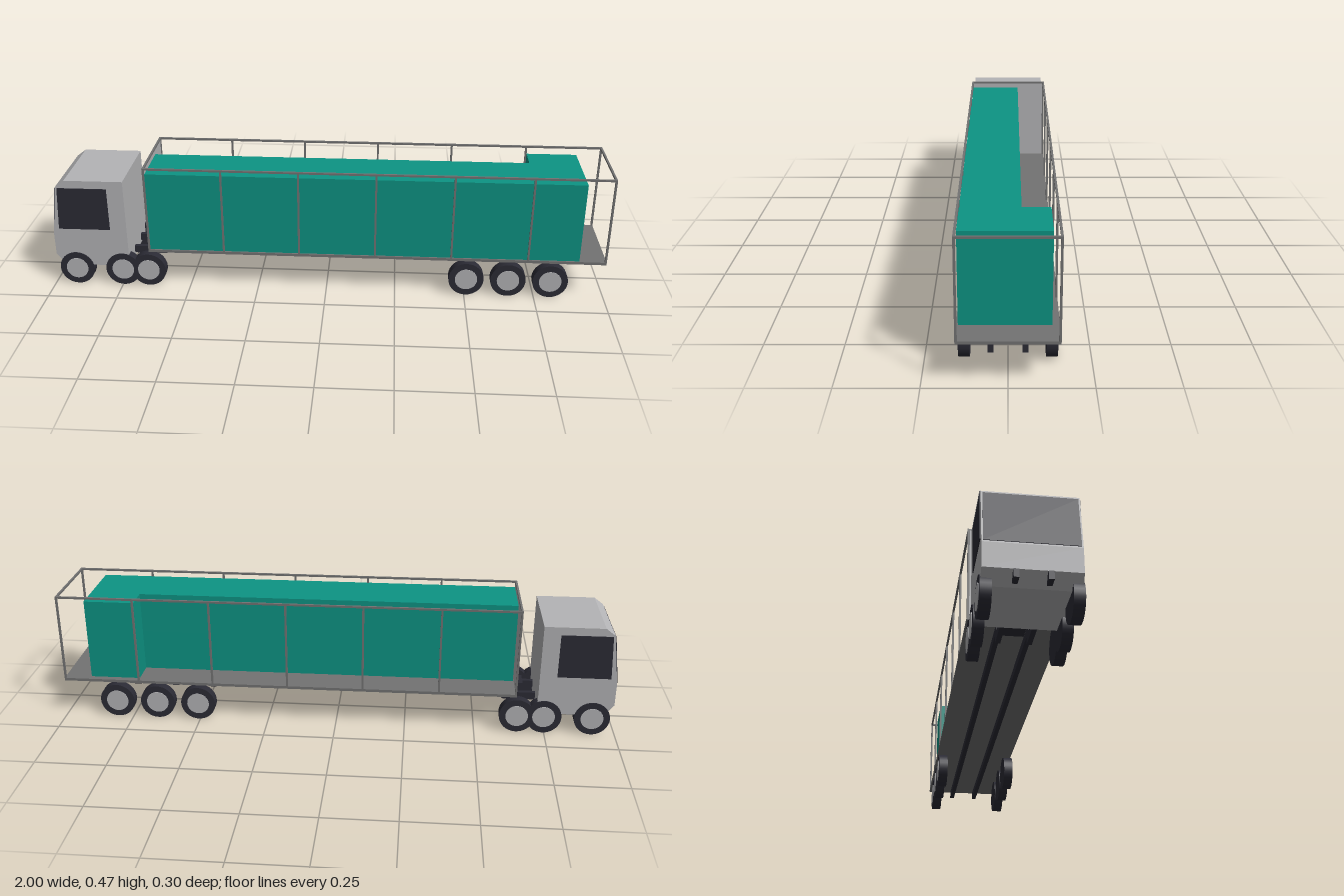
import * as THREE from 'three';

const mat = (name, color) => {
  const m = new THREE.MeshStandardMaterial({ color });
  m.name = name;
  return m;
};

export function createModel() {
  const root = new THREE.Group();
  root.name = 'semiTrailerTruck';
  const lightGrey = mat('lightGrey', 0xb4b4b6);
  const midGrey = mat('midGrey', 0x737373);
  const dark = mat('darkRubber', 0x2b2b35);
  const teal = mat('teal', 0x0d9484);

  const add = (name, geometry, material, parent = root) => {
    const mesh = new THREE.Mesh(geometry, material);
    mesh.name = name;
    parent.add(mesh);
    return mesh;
  };
  // Box given by its minimum and maximum on each axis
  const box = (name, [x0, x1], [y0, y1], [z0, z1], material, parent) =>
    add(name, new THREE.BoxGeometry(x1 - x0, y1 - y0, z1 - z0), material, parent)
      .position.set((x0 + x1) / 2, (y0 + y1) / 2, (z0 + z1) / 2);
  // Side profile extruded across the vehicle between two z values
  const prism = (name, points, z0, z1, material, parent) => {
    const shape = new THREE.Shape(points.map(([x, y]) => new THREE.Vector2(x, y)));
    const g = new THREE.ExtrudeGeometry(shape, { depth: z1 - z0, bevelEnabled: false });
    add(name, g, material, parent).position.z = z0;
  };
  const group = (name) => {
    const g = new THREE.Group();
    g.name = name;
    root.add(g);
    return g;
  };

  // Cab with sloping windscreen and chin
  const cab = group('cab');
  prism('cabBody', [
    [-0.955, 0.076], [-0.72, 0.076], [-0.72, 0.411], [-0.93, 0.411],
    [-0.963, 0.386], [-0.988, 0.2], [-0.988, 0.118],
  ], -0.145, 0.145, lightGrey, cab);
  prism('windscreen', [
    [-0.99, 0.205], [-0.986, 0.205], [-0.962, 0.38], [-0.967, 0.38],
  ], -0.14, 0.14, dark, cab);
  for (const side of [-1, 1]) {
    prism('sideWindow', [
      [-0.966, 0.222], [-0.78, 0.222], [-0.78, 0.382], [-0.957, 0.382],
    ], side * 0.146 - 0.002, side * 0.146 + 0.002, dark, cab);
  }

  // Tractor and trailer chassis rails
  const chassis = group('chassis');
  for (const side of [-1, 1]) {
    const z = [side * 0.049 - 0.008, side * 0.049 + 0.008];
    box('tractorRail', [-1, -0.6], [0.085, 0.112], z, dark, chassis);
    box('trailerRail', [-0.64, 0.99], [0.111, 0.138], z, dark, chassis);
  }
  box('couplingPlate', [-0.675, -0.59], [0.118, 0.138], [-0.034, 0.034], dark, chassis);

  // Wheels: smooth tyre with a pale hub on the outer face
  const tyre = new THREE.CylinderGeometry(0.063, 0.063, 0.034, 32).rotateX(Math.PI / 2);
  const hub = new THREE.CylinderGeometry(0.04, 0.04, 0.006, 32).rotateX(Math.PI / 2);
  const wheels = group('wheels');
  for (const x of [-0.915, -0.745, -0.65, 0.505, 0.655, 0.805]) {
    for (const side of [-1, 1]) {
      add('tyre', tyre, dark, wheels).position.set(x, 0.063, side * 0.131);
      add('hub', hub, lightGrey, wheels).position.set(x, 0.063, side * 0.147);
    }
  }

  // Trailer deck, headboard and open frame
  const trailer = group('trailer');
  box('deck', [-0.645, 0.995], [0.138, 0.148], [-0.15, 0.15], midGrey, trailer);
  box('headboard', [-0.645, -0.641], [0.148, 0.46], [-0.143, 0.143], lightGrey, trailer);
  const t = 0.007;
  for (const side of [-1, 1]) {
    const z = [side * 0.1465 - t / 2, side * 0.1465 + t / 2];
    for (let i = 0; i < 7; i++) {
      const x = -0.6415 + i * 0.2722;
      box('post', [x - t / 2, x + t / 2], [0.148, 0.46], z, midGrey, trailer);
    }
    box('topRail', [-0.645, 0.995], [0.46, 0.467], z, midGrey, trailer);
  }
  for (const x of [-0.645, 0.988]) {
    box('topCrossbar', [x, x + t], [0.46, 0.467], [-0.143, 0.143], midGrey, trailer);
  }

  // Two layers of cargo along the left side, plus a stack at the rear right
  const cargo = group('cargo');
  for (const y of [[0.148, 0.2955], [0.2955, 0.443]]) {
    for (let i = 0; i < 6; i++) {
      const x = -0.638 + i * 0.2716;
      box('crate', [x, i < 5 ? x + 0.2716 : 0.9], y, [-0.04, 0.1445], teal, cargo);
    }
    box('rearCrate', [0.72, 0.9], y, [-0.128, -0.04], teal, cargo);
  }
  return root;
}
